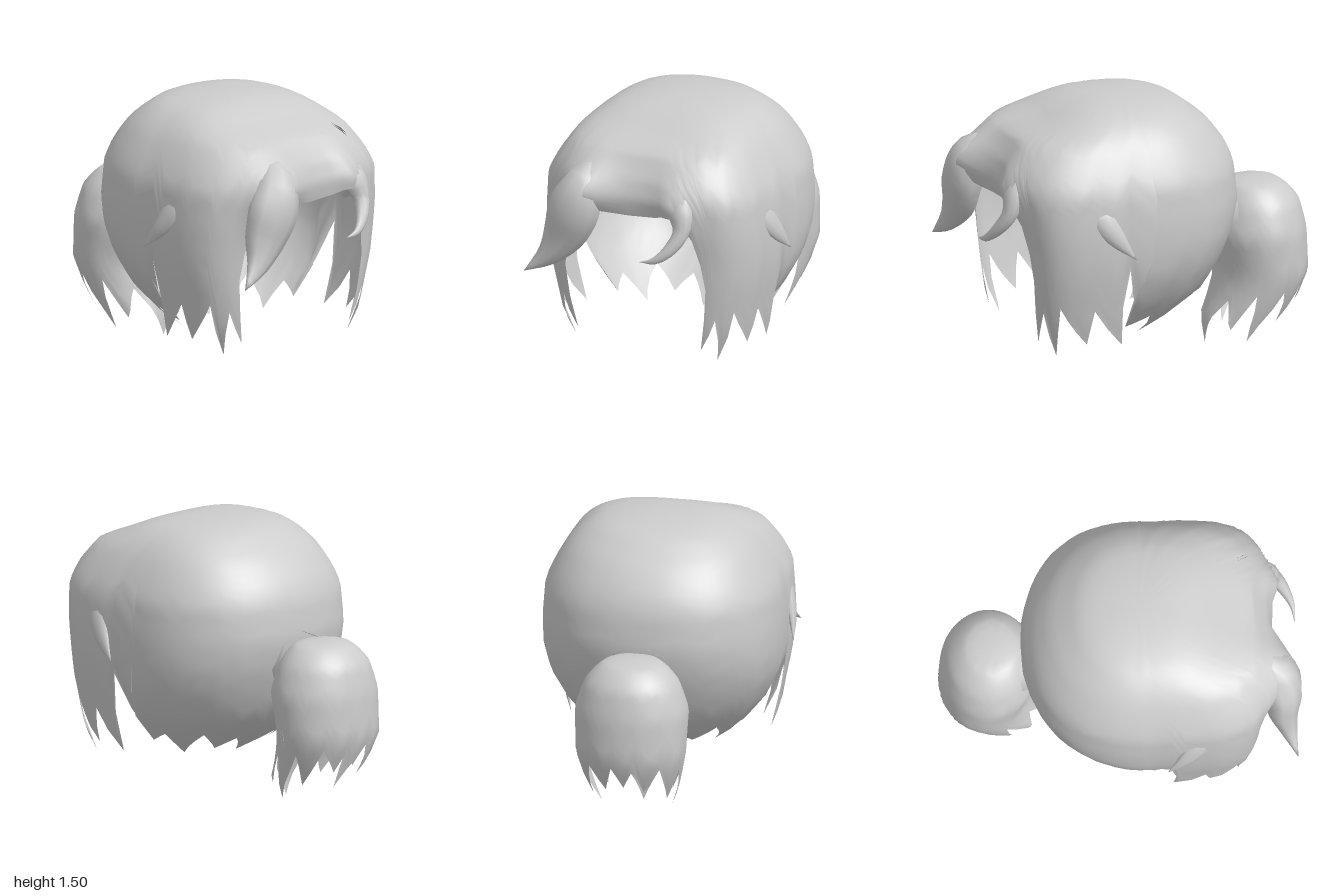
import * as THREE from 'three';
import { mergeVertices } from 'three/addons/utils/BufferGeometryUtils.js';

const hair = new THREE.MeshStandardMaterial({ color: 0xcccccc, side: THREE.DoubleSide });
hair.name = 'hair grey';

// Surface closed around its columns; point(i, j) gives column i, row j from root to tip
function loft(cols, rows, point) {
  const pos = [], index = [];
  for (let i = 0; i < cols; i++)
    for (let j = 0; j <= rows; j++) pos.push(...point(i, j));
  for (let i = 0; i < cols; i++) {
    for (let j = 0; j < rows; j++) {
      const a = i * (rows + 1) + j, b = ((i + 1) % cols) * (rows + 1) + j;
      index.push(a, a + 1, b + 1);
      if (j > 0) index.push(a, b + 1, b);
    }
  }
  let g = new THREE.BufferGeometry();
  g.setAttribute('position', new THREE.Float32BufferAttribute(pos, 3));
  g.setIndex(index);
  g = mergeVertices(g, 1e-5);
  g.computeVertexNormals();
  return g;
}

function part(name, geometry) {
  const m = new THREE.Mesh(geometry, hair);
  m.name = name;
  return m;
}

// Mirror the half hem (degrees from the front, height) and subdivide it
function hemColumns(half) {
  const full = [...half, ...half.slice(1, -1).reverse().map(([a, y]) => [360 - a, y]), [360, half[0][1]]];
  const out = [];
  for (let k = 0; k < full.length - 1; k++) {
    const [a, y] = full[k], [b, z] = full[k + 1];
    const n = Math.max(2, Math.ceil((b - a) / 7));
    for (let i = 0; i < n; i++) out.push([a + (b - a) * i / n, y + (z - y) * i / n]);
  }
  return out;
}

// Interpolate a profile table of rows [y, ...values]
function profile(table, y) {
  const top = table[0][0], s = (v) => Math.sqrt(Math.max(0, top - v));
  let k = 1;
  while (k < table.length - 1 && table[k][0] > y) k++;
  const p = table[k - 1], q = table[k];
  const f = Math.min(1, (s(y) - s(p[0])) / (s(q[0]) - s(p[0])));
  return p.map((v, i) => v + (q[i] - v) * f);
}

const power = (v, p) => Math.sign(v) * Math.pow(Math.abs(v), p);

// Domed hair with a jagged hem; section(y, degrees) returns [half width, mid z, depth, power],
// bulge(x, y) pushes the front forward
function dome(top, half, rows, section, bulge = () => 0) {
  const cols = hemColumns(half);
  return loft(cols.length, rows, (i, j) => {
    const [deg, rim] = cols[i];
    const y = top - (top - rim) * Math.pow(j / rows, 1.7);
    const [a, zc, d, p] = section(y, deg);
    if (j === 0) return [0, y, zc];
    const r = deg * Math.PI / 180, c = Math.cos(r);
    const x = a * power(Math.sin(r), p);
    return [x, y, zc + d * power(c, p) + Math.max(0, c) * bulge(x, y)];
  });
}

// Tapered lock through rows [x, y, z, half width, half thickness]
function lock(path, axis) {
  const centre = new THREE.CatmullRomCurve3(path.map((p) => new THREE.Vector3(p[0], p[1], p[2])));
  const size = new THREE.CatmullRomCurve3(path.map((p) => new THREE.Vector3(p[3], p[4], 0)));
  const rows = 16, cols = 10;
  return loft(cols, rows, (i, j) => {
    const t = j / rows, c = centre.getPoint(t), s = size.getPoint(t);
    const T = centre.getTangent(t);
    const N = axis.clone().addScaledVector(T, -axis.dot(T)).normalize();
    const W = new THREE.Vector3().crossVectors(T, N);
    const a = i / cols * Math.PI * 2;
    c.addScaledVector(W, Math.max(0, s.x) * Math.cos(a)).addScaledVector(N, Math.max(0, s.y) * Math.sin(a));
    return c.toArray();
  });
}

export function createModel() {
  const model = new THREE.Group();
  model.name = 'hairstyle';

  // Main hair: y, half width, front z, back z, half width of the nape, front squareness
  const head = [
    [1.5, 0, 0.1, 0.1, 0, 0.65], [1.49, 0.2, 0.28, -0.08, 0.2, 0.65], [1.46, 0.35, 0.4, -0.21, 0.35, 0.62],
    [1.4, 0.45, 0.54, -0.3, 0.45, 0.58], [1.33, 0.52, 0.72, -0.39, 0.52, 0.55], [1.2, 0.6, 0.8, -0.49, 0.6, 0.49],
    [1.1, 0.645, 0.82, -0.53, 0.645, 0.45], [0.9, 0.66, 0.8, -0.55, 0.66, 0.43],
    [0.75, 0.66, 0.78, -0.52, 0.655, 0.43], [0.6, 0.645, 0.77, -0.46, 0.63, 0.43],
    [0.43, 0.61, 0.76, -0.37, 0.55, 0.45], [0.28, 0.59, 0.75, -0.17, 0.42, 0.5],
    [0.15, 0.53, 0.72, 0.04, 0.26, 0.55],
  ];
  const headHem = [
    [0, 0.99], [5, 1.03], [10, 1.03], [16, 0.9], [24, 0.6], [28, 0.23], [35, 0.42], [45, 0.16],
    [52, 0.46], [69, 0.24], [76, 0.44], [85, 0.22], [88, 0.67], [90, 0.27], [105, 0.33], [117, 0.2],
    [135, 0.34], [150, 0.23], [163, 0.3], [180, 0.19],
  ];
  // Two swells at the roots of the fringe
  const swell = (x, y, cx, w, cy, h) => Math.exp(-(((x - cx) / w) ** 2) - ((y - cy) / h) ** 2);
  const fringeSwell = (x, y) =>
    0.15 * swell(x, y, -0.25, 0.16, 1.12, 0.16) + 0.06 * swell(x, y, 0.28, 0.12, 1.08, 0.14);
  model.add(part('mainHair', dome(1.5, headHem, 26, (y, deg) => {
    const [, a, zf, zb, aBack, square] = profile(head, y);
    if (deg < 89 || deg > 271) return [a, 0.1, zf - 0.1, square];
    const zc = 0.1 + 0.1 * THREE.MathUtils.clamp((0.75 - y) / 0.3, 0, 1);
    return [aBack, zc, zc - zb, 0.9];
  }, fringeSwell)));

  // Ponytail: y, half width, front z, back z
  const tail = [
    [0.92, 0, -0.7, -0.7], [0.91, 0.14, -0.58, -0.83], [0.85, 0.22, -0.52, -0.91],
    [0.8, 0.26, -0.49, -0.95], [0.64, 0.315, -0.45, -0.99], [0.4, 0.305, -0.5, -1],
    [0.25, 0.27, -0.46, -0.94], [0.15, 0.24, -0.41, -0.88], [0, 0.18, -0.42, -0.76],
  ];
  const tailHem = [
    [0, 0], [32, 0.27], [54, 0.11], [68, 0.31], [86, 0.04], [104, 0.32], [120, 0.14],
    [138, 0.36], [156, 0.22], [168, 0.37], [180, 0.25],
  ];
  model.add(part('ponytail', dome(0.92, tailHem, 18, (y) => {
    const [, a, zf, zb] = profile(tail, y);
    return [a, (zf + zb) / 2, (zf - zb) / 2, 1];
  })));

  // Tapered neck of the ponytail, poking through the back
  const neck = part('ponytailNeck', new THREE.CylinderGeometry(0.165, 0.2, 0.1, 8, 1, true).rotateX(Math.PI / 2));
  neck.position.set(0, 0.74, -0.5);
  model.add(neck);

  // Fringe: a broad sweep on one side, a thin curl on the other
  const zAxis = new THREE.Vector3(0, 0, 1);
  model.add(part('sweptFringe', lock([
    [-0.2, 1.27, 0.66, 0.03, 0.02], [-0.26, 1.14, 0.84, 0.12, 0.11], [-0.31, 1.0, 0.88, 0.155, 0.11],
    [-0.37, 0.85, 0.88, 0.13, 0.09], [-0.45, 0.72, 0.91, 0.07, 0.05], [-0.58, 0.61, 0.96, 0, 0],
  ], zAxis)));
  model.add(part('curledFringe', lock([
    [0.25, 1.2, 0.66, 0.03, 0.02], [0.31, 1.09, 0.8, 0.08, 0.06], [0.345, 0.97, 0.85, 0.05, 0.045],
    [0.3, 0.87, 0.91, 0.035, 0.03], [0.23, 0.81, 0.95, 0.02, 0.015], [0.14, 0.79, 0.96, 0, 0],
  ], zAxis)));

  // Small flicks above the ears
  for (const s of [1, -1]) {
    model.add(part(s > 0 ? 'leftFlick' : 'rightFlick', lock([
      [s * 0.57, 1.1, 0.44, 0.03, 0.02], [s * 0.625, 0.97, 0.41, 0.07, 0.035],
      [s * 0.665, 0.86, 0.34, 0.05, 0.025], [s * 0.695, 0.74, 0.24, 0, 0],
    ], new THREE.Vector3(s, 0, 0))));
  }
  return model;
}
